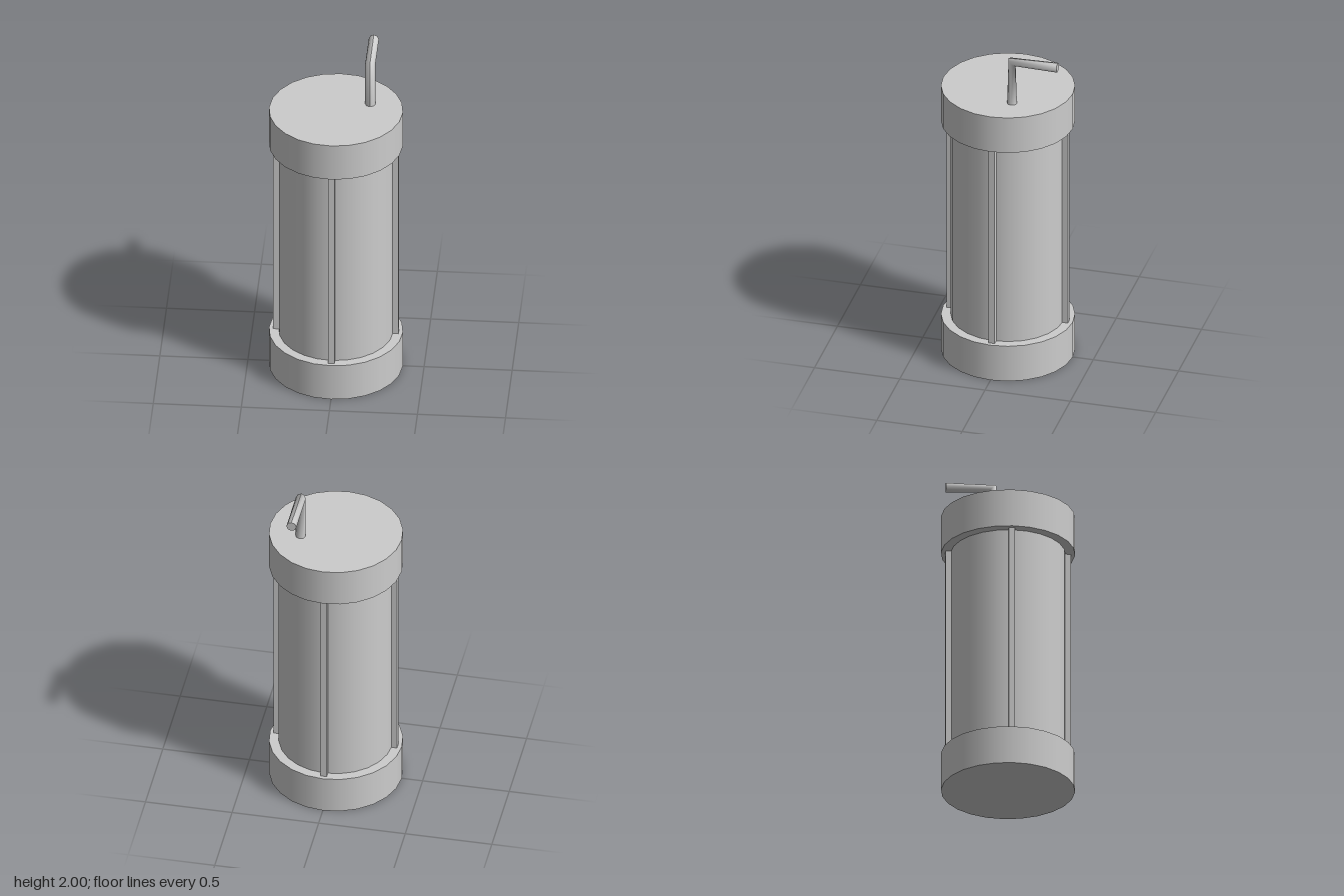
import * as THREE from 'three';

export function createModel() {
  const group = new THREE.Group();
  const grey = new THREE.MeshStandardMaterial({ color: 0xcccccc });
  grey.name = 'light grey';

  const add = (name, geometry, x = 0, y = 0, z = 0) => {
    const mesh = new THREE.Mesh(geometry, grey);
    mesh.name = name;
    mesh.position.set(x, y, z);
    group.add(mesh);
    return mesh;
  };

  // Central body between two wider end caps
  add('body', new THREE.CylinderGeometry(0.325, 0.325, 1.27, 24), 0, 0.855, 0);
  add('bottomCap', new THREE.CylinderGeometry(0.38, 0.38, 0.226, 24), 0, 0.113, 0);
  add('topCap', new THREE.CylinderGeometry(0.38, 0.38, 0.226, 24), 0, 1.592, 0);

  // Four upright ribs around the body
  for (let i = 0; i < 4; i++) {
    const a = (i * Math.PI) / 2;
    const rib = add('rib', new THREE.BoxGeometry(0.036, 1.27, 0.05),
      Math.sin(a) * 0.331, 0.855, Math.cos(a) * 0.331);
    rib.rotation.y = a;
  }

  // Bent pipe: rings of a straight cylinder are turned along an elbow path
  const path = [
    new THREE.Vector3(0, 1.70, -0.075),
    new THREE.Vector3(0, 1.971, -0.075),
    new THREE.Vector3(0, 1.971, -0.342),
  ];
  const pipe = new THREE.CylinderGeometry(0.029, 0.029, 2, 8, 2);
  const pos = pipe.attributes.position;
  const v = new THREE.Vector3();
  const xAxis = new THREE.Vector3(1, 0, 0);
  for (let i = 0; i < pos.count; i++) {
    v.fromBufferAttribute(pos, i);
    const ring = Math.round(v.y + 1);
    v.y = 0;
    v.applyAxisAngle(xAxis, (-ring * Math.PI) / 4).add(path[ring]);
    pos.setXYZ(i, v.x, v.y, v.z);
  }
  pipe.computeVertexNormals();
  add('bentPipe', pipe, 0.189, 0, 0);

  return group;
}
